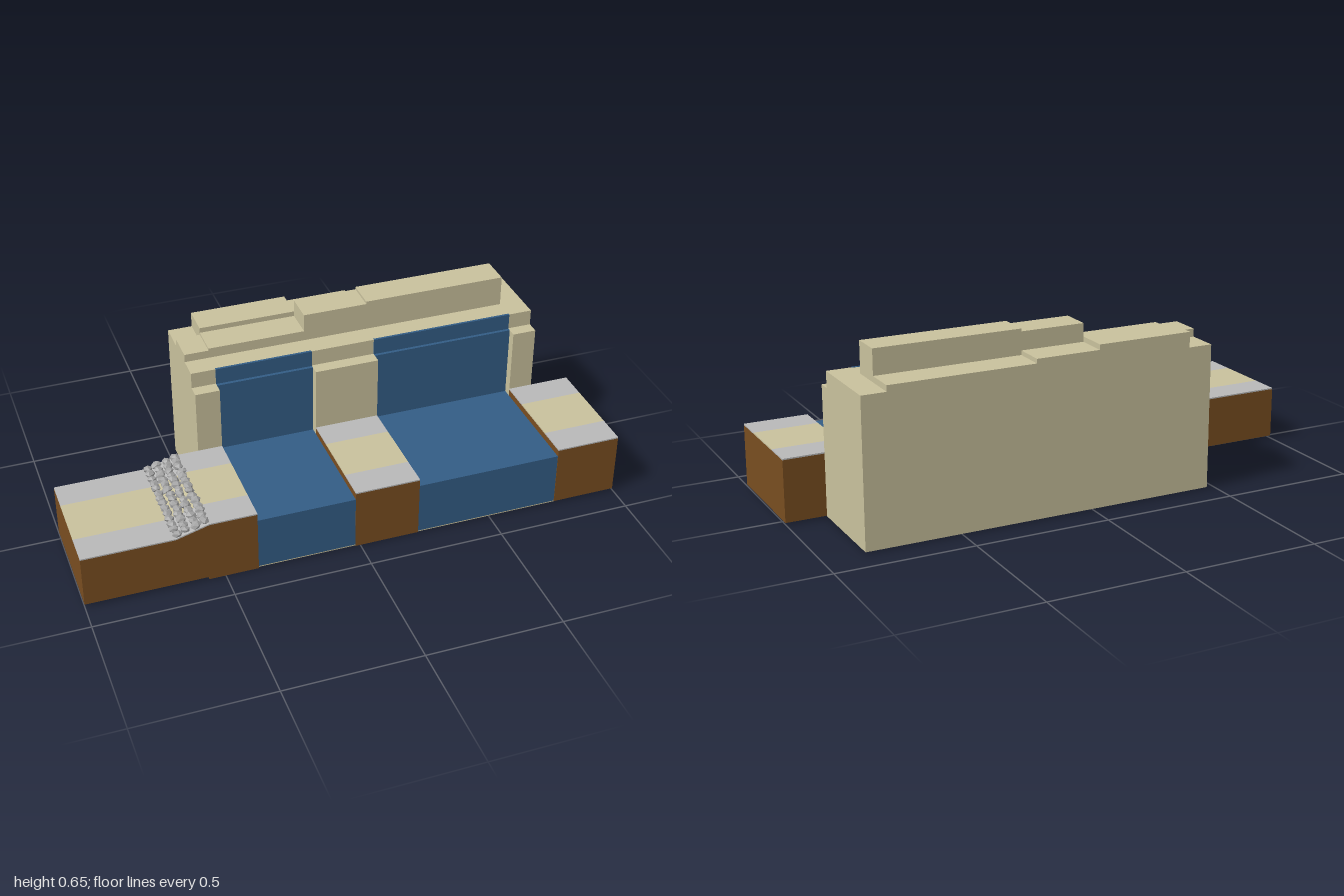
import * as THREE from 'three';

const mat = (name, color, flat = false) => {
  const m = new THREE.MeshStandardMaterial({ color, flatShading: flat });
  m.name = name;
  return m;
};

export function createModel() {
  const root = new THREE.Group();
  root.name = 'waterfallCliff';
  const rock = mat('sandstone', 0xc8c09c);
  const water = mat('water', 0x335c85);
  const earth = mat('earth', 0x784d20);
  const gravel = mat('gravel', 0xb8b8b8);
  const stone = mat('stone', 0xa4a4a4, true);

  const add = (name, geo, m) => {
    const mesh = new THREE.Mesh(geo, m);
    mesh.name = name;
    root.add(mesh);
    return mesh;
  };
  // Box given by its two opposite corners
  const block = (name, m, x0, x1, y0, y1, z0, z1) => {
    const geo = new THREE.BoxGeometry(x1 - x0, y1 - y0, z1 - z0);
    geo.translate((x0 + x1) / 2, (y0 + y1) / 2, (z0 + z1) / 2);
    return add(name, geo, m);
  };
  // Side profile in x and y, swept from z0 to z1
  const sweep = (name, m, pts, z0, z1) => {
    const shape = new THREE.Shape(pts.map(([x, y]) => new THREE.Vector2(x, y)));
    const geo = new THREE.ExtrudeGeometry(shape, { depth: z1 - z0, bevelEnabled: false });
    geo.translate(0, 0, z0);
    return add(name, geo, m);
  };

  // Cliff body with front pillars
  block('cliffBody', rock, -0.47, 0.85, 0.004, 0.54, -0.393, -0.08);
  for (const [x0, x1] of [[-0.47, -0.38], [-0.02, 0.22], [0.76, 0.85]]) {
    block('cliffPillar', rock, x0, x1, 0.004, 0.48, -0.08, -0.032);
  }

  // Crest: front and back rows of uneven height [x0, x1, front, back]
  const crest = [
    [-0.47, -0.38, 0.57, 0],
    [-0.38, -0.02, 0.578, 0.597],
    [-0.02, 0.22, 0.645, 0.578],
    [0.22, 0.76, 0.655, 0.562],
  ];
  for (const [x0, x1, front, back] of crest) {
    block('crestFront', rock, x0, x1, 0.54, front, -0.277, -0.162);
    if (back) block('crestBack', rock, x0, x1, 0.54, back, -0.393, -0.277);
  }

  // Two waterfalls, each with its pool and rock bed
  for (const [x0, x1] of [[-0.38, -0.02], [0.22, 0.76]]) {
    block('upperFall', water, x0, x1, 0.48, 0.541, -0.086, -0.077);
    block('lowerFall', water, x0, x1, 0.2, 0.48, -0.08, -0.065);
    block('pool', water, x0, x1, 0.008, 0.208, -0.08, 0.391);
    block('poolBed', rock, x0, x1, 0.004, 0.008, -0.08, 0.391);
  }

  // Earth banks; the left one slopes down to a lower terrace
  const banks = [
    { base: [[-1, 0.01], [-0.56, 0.01], [-0.56, 0], [-0.38, 0]], top: [[-0.38, 0.24], [-0.55, 0.24], [-0.67, 0.206], [-1, 0.206]] },
    { base: [[-0.02, 0.003], [0.22, 0.003]], top: [[0.22, 0.238], [-0.02, 0.238]] },
    { base: [[0.76, 0.006], [1, 0.006]], top: [[1, 0.238], [0.76, 0.238]] },
  ];
  const thick = 0.005;
  for (const { base, top } of banks) {
    const under = top.map(([x, y]) => [x, y - thick]);
    sweep('bank', earth, [...base, ...under], -0.032, 0.393);
    // Gravel edges with a sandy path between them
    const layer = [...under.slice().reverse(), ...top];
    sweep('gravelEdgeBack', gravel, layer, -0.032, 0.08);
    sweep('sandyPath', rock, layer, 0.08, 0.28);
    sweep('gravelEdgeFront', gravel, layer, 0.28, 0.393);
  }

  // Rows of rough stones along the slope
  let seed = 7;
  const rand = () => (seed = (seed * 16807) % 2147483647) / 2147483647;
  const stones = new THREE.Group();
  stones.name = 'steppingStones';
  const pebble = new THREE.IcosahedronGeometry(1, 0);
  for (let col = 0; col < 4; col++) {
    const x = -0.663 + col * 0.033;
    for (let i = 0; i < 14; i++) {
      const s = new THREE.Mesh(pebble, stone);
      s.name = 'stone';
      s.scale.set(0.019 + rand() * 0.003, 0.011 + rand() * 0.004, 0.016 + rand() * 0.004);
      s.rotation.set((rand() - 0.5) * 0.5, rand() * 6, 0.27);
      s.position.set(x + (rand() - 0.5) * 0.006, 0.215 + col * 0.0105, -0.014 + i * 0.03 + (rand() - 0.5) * 0.006);
      stones.add(s);
    }
  }
  root.add(stones);
  return root;
}
